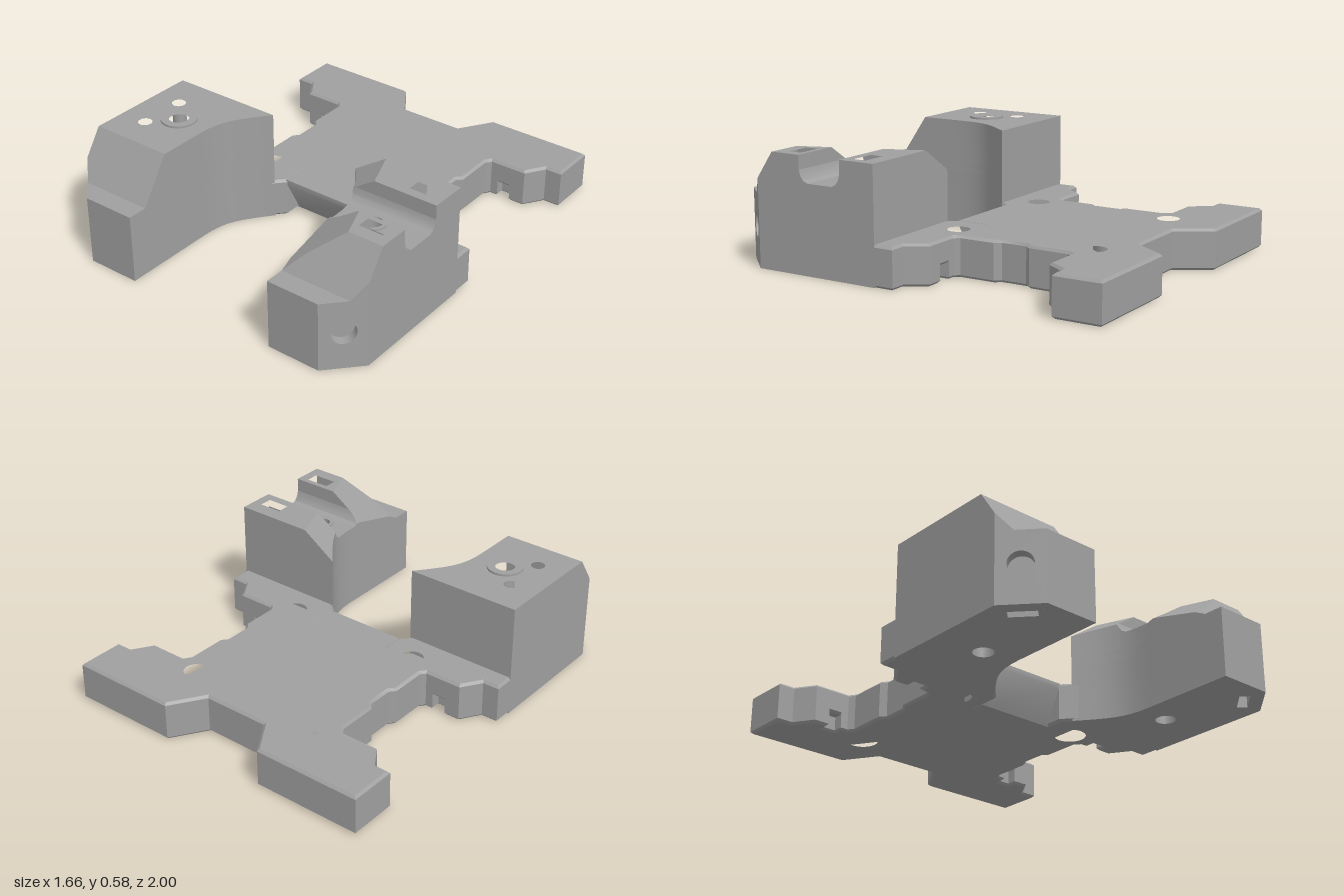
import * as THREE from 'three';
import { toCreasedNormals } from 'three/addons/utils/BufferGeometryUtils.js';

const grey = new THREE.MeshStandardMaterial({ color: 0xa0a0a0 });
grey.name = 'grey plastic';

const mirror = (pts) => pts.map(([x, z]) => [-x, z]);
const side = (pts, s) => (s > 0 ? pts : mirror(pts));

function circle(x, z, r, n = 36) {
  return Array.from({ length: n }, (_, i) => {
    const a = (i / n) * Math.PI * 2;
    return [x + r * Math.cos(a), z + r * Math.sin(a)];
  });
}

const rect = (x0, x1, z0, z1) => [[x0, z0], [x1, z0], [x1, z1], [x0, z1]];
const vectors = (pts) => pts.map(([x, z]) => new THREE.Vector2(x, -z));

function add(parent, name, geometry) {
  const mesh = new THREE.Mesh(toCreasedNormals(geometry, 0.5), grey);
  mesh.name = name;
  parent.add(mesh);
  return mesh;
}

// Horizontal slab from a plan outline (x, z), with holes and optional bevel
function slab(outline, y0, y1, holes = [], bevel = 0) {
  const shape = new THREE.Shape(vectors(outline));
  for (const h of holes) shape.holes.push(new THREE.Path(vectors(h)));
  const g = new THREE.ExtrudeGeometry(shape, {
    depth: y1 - y0 - 2 * bevel, bevelEnabled: bevel > 0, bevelThickness: bevel,
    bevelSize: bevel, bevelOffset: -bevel, bevelSegments: 1,
  });
  return g.rotateX(-Math.PI / 2).translate(0, y0 + bevel, 0);
}

// Curved inner wall of a leg as [z, x], and its outer wall with corner chamfer
const INNER = [[0.12, 0.2], [0.165, 0.245], [0.21, 0.282], [0.25, 0.313], [0.29, 0.342], [0.33, 0.366],
  [0.37, 0.384], [0.41, 0.395], [0.46, 0.403], [0.52, 0.405], [1, 0.405]];
function innerX(z) {
  const i = Math.max(1, INNER.findIndex((p) => p[0] >= z));
  const [a, b] = [INNER[i - 1], INNER[i]];
  return a[1] + ((b[1] - a[1]) * (z - a[0])) / (b[0] - a[0]);
}
const outerX = (z) => 0.83 - Math.max(0, z - 0.84) * (0.15 / 0.16);
const levels = (z0, z1) => [z0, ...INNER.map((p) => p[0]).filter((z) => z > z0 && z < z1), z1];
const strip = (z0, z1) => [...levels(z0, z1).map((z) => [innerX(z), z]), [0.83, z1], [0.83, z0]];

// Upper leg section lofted along z; caps are [z, height], cut adds the inner bevel plane
function loft(caps, s, cut, outer = outerX) {
  const BASE = 0.35, pos = [], idx = [];
  const capAt = (z) => {
    const i = Math.max(1, caps.findIndex((c) => c[0] >= z));
    const [a, b] = [caps[i - 1], caps[i]];
    return a[1] + ((b[1] - a[1]) * (z - a[0])) / (b[0] - a[0]);
  };
  const zs = [...new Set([...levels(caps[0][0], caps.at(-1)[0]), ...caps.map((c) => c[0]),
    ...[0.84].filter((z) => z > caps[0][0] && z < caps.at(-1)[0])])].sort((a, b) => a - b);
  for (const z of zs) {
    const xi = innerX(z), xo = outer(z), cap = capAt(z);
    const plane = 0.57 + 0.72 * ((xi - 0.42) * 0.932 - (z - 0.16) * 0.363);
    const edge = 0.42 + ((cap - 0.57) / 0.72 + 0.363 * (z - 0.16)) / 0.932;
    const yi = cut ? Math.min(cap, plane) : cap;
    const xb = cut ? Math.min(xo, Math.max(xi, edge)) : xi;
    for (const [x, y] of [[xo, BASE], [xi, BASE], [xi, yi], [xb, cap], [xo, cap]]) pos.push(s * x, y, z);
  }
  const tri = (a, b, c) => (s > 0 ? idx.push(a, b, c) : idx.push(a, c, b));
  const last = (zs.length - 1) * 5;
  for (let k = 0; k < last; k += 5) {
    for (let i = 0; i < 5; i++) {
      const j = (i + 1) % 5;
      tri(k + i, k + 5 + i, k + j);
      tri(k + j, k + 5 + i, k + 5 + j);
    }
  }
  for (let i = 1; i < 4; i++) {
    tri(0, i, i + 1);
    tri(last, last + i + 1, last + i);
  }
  const g = new THREE.BufferGeometry();
  g.setAttribute('position', new THREE.Float32BufferAttribute(pos, 3));
  g.setIndex(idx);
  return g;
}

function makePlate() {
  const plate = new THREE.Group();
  plate.name = 'basePlate';
  // Half outline from the rear notch to the front edge, with optional side pockets
  const half = (pocket, front) => [
    [0.17, -0.83], [0.28, -1], [0.83, -1], [0.83, -0.76], [0.745, -0.76], [0.68, -0.66],
    ...(pocket ? [[0.6, -0.66], [0.6, -0.71], [0.53, -0.71], [0.53, -0.66]] : []),
    [0.49, -0.66], [0.47, -0.63], [0.47, -0.43], [0.445, -0.4], [0.445, -0.27], [0.47, -0.24],
    [0.47, -0.06], [0.49, -0.035],
    ...(pocket ? [[0.53, -0.035], [0.53, 0.015], [0.6, 0.015], [0.6, -0.035]] : []),
    [0.68, -0.035], [0.745, 0.065], [0.83, 0.065], [0.83, 0.2], [0.275, 0.2], [0.2, 0.12], [0.2, front],
  ];
  const outline = (pocket, front) => {
    const h = half(pocket, front);
    return [...h, ...mirror(h).reverse()];
  };
  const screws = (r) => [[1, -0.71], [-1, -0.71], [1, 0.02], [-1, 0.02]].map(([s, z]) => circle(s * 0.365, z, r));
  add(plate, 'plateLower', slab(outline(true, -0.02), 0, 0.11, [...screws(0.09), circle(0, -0.6, 0.05)], 0.012));
  add(plate, 'plateUpper', slab(outline(false, -0.02), 0.08, 0.2, [...screws(0.068), circle(0, -0.6, 0.09)], 0.012));

  // Front lip with sloping underside
  const lip = new THREE.Shape([[-0.1, 0], [0.03, 0], [0.12, 0.17], [0.12, 0.2], [-0.1, 0.2]]
    .map(([z, y]) => new THREE.Vector2(-z, y)));
  const g = new THREE.ExtrudeGeometry(lip, { depth: 0.42, bevelEnabled: false });
  add(plate, 'frontLip', g.translate(0, 0, -0.21).rotateY(Math.PI / 2));
  return plate;
}

function makeLegBase(s) {
  const leg = new THREE.Group();
  leg.name = s > 0 ? 'leftLegBase' : 'rightLegBase';
  // Chamfered corner: n points out of the face, t runs along it
  const n = [0.73, 0.684], t = [-0.684, 0.73], depth = 0.05;
  const A = [0.83, 0.84], B = [0.68, 1];
  const inset = (p, d) => [p[0] - n[0] * d, p[1] - n[1] * d];
  const foot = [...levels(0.165, 1).map((z) => [innerX(z), z]), B, inset(B, depth), inset(A, depth), A, [0.83, 0.165]];
  const mid = [0.755, 0.92];
  const slot = [[-1, 0.065], [1, 0.065], [1, 0.115], [-1, 0.115]].map(([k, d]) => {
    const p = inset(mid, d);
    return [p[0] + t[0] * 0.065 * k, p[1] + t[1] * 0.065 * k];
  });
  const bolt = circle(0.573, 0.47, 0.05);
  add(leg, 'legFoot', slab(side(foot, s), 0, 0.3, [side(bolt, s), side(slot, s)]));
  add(leg, 'legMiddle', slab(side(foot, s), 0.3, 0.35, [side(bolt, s)]));

  // Corner plate with the angled bolt hole
  const w = Math.hypot(0.15, 0.16) / 2;
  const face = new THREE.Shape([[-w, 0], [w, 0], [w, 0.35], [-w, 0.35]].map((p) => new THREE.Vector2(...p)));
  face.holes.push(new THREE.Path(circle(0, 0.19, 0.06).map((p) => new THREE.Vector2(...p))));
  const plate = new THREE.ExtrudeGeometry(face, { depth, bevelEnabled: false });
  plate.translate(0, 0, -depth).rotateY(s * Math.atan2(n[0], n[1])).translate(s * mid[0], 0, mid[1]);
  add(leg, 'cornerPlate', plate);
  return leg;
}

function makeRightTop() {
  const top = new THREE.Group();
  top.name = 'rightLegTop';
  const holes = [circle(-0.573, 0.47, 0.05), circle(-0.685, 0.35, 0.034), circle(-0.685, 0.585, 0.034)];
  add(top, 'upperBlock', slab(mirror(strip(0.165, 0.75)), 0.35, 0.57, holes));
  add(top, 'frontSlope', loft([[0.75, 0.57], [0.9, 0.35]], -1, false));
  add(top, 'boltBoss', slab(circle(-0.573, 0.47, 0.088), 0.57, 0.58, [holes[0]]));
  return top;
}

function makeLeftTop() {
  const top = new THREE.Group();
  top.name = 'leftLegTop';
  const split = () => 0.65;
  add(top, 'rearBevel', loft([[0.165, 0.57], [0.355, 0.57]], 1, true, split));
  add(top, 'frontBevel', loft([[0.59, 0.57], [0.75, 0.57]], 1, true, split));
  add(top, 'frontSlope', loft([[0.75, 0.57], [0.9, 0.35]], 1, true));
  // Blocks with rectangular slots
  add(top, 'rearSlotBlock', slab(rect(0.65, 0.83, 0.165, 0.355), 0.35, 0.57, [rect(0.655, 0.78, 0.242, 0.308)]));
  add(top, 'frontSlotBlock', slab(rect(0.65, 0.83, 0.59, 0.75), 0.35, 0.57, [rect(0.655, 0.78, 0.617, 0.683)]));
  // Rounded groove across the leg, with recessed bolt hole
  add(top, 'grooveRear', loft([[0.355, 0.5], [0.363, 0.472], [0.38, 0.45], [0.4, 0.44]], 1, true));
  add(top, 'grooveFront', loft([[0.54, 0.44], [0.565, 0.45], [0.582, 0.472], [0.59, 0.5]], 1, true));
  add(top, 'grooveFloor', slab(strip(0.4, 0.54), 0.35, 0.44, [circle(0.573, 0.47, 0.05)]));
  add(top, 'boltRing', slab(circle(0.573, 0.47, 0.068), 0.44, 0.448, [circle(0.573, 0.47, 0.05)]));
  return top;
}

export function createModel() {
  const model = new THREE.Group();
  model.name = 'mountingBracket';
  model.add(makePlate(), makeLegBase(1), makeLegBase(-1), makeRightTop(), makeLeftTop());
  return model;
}
